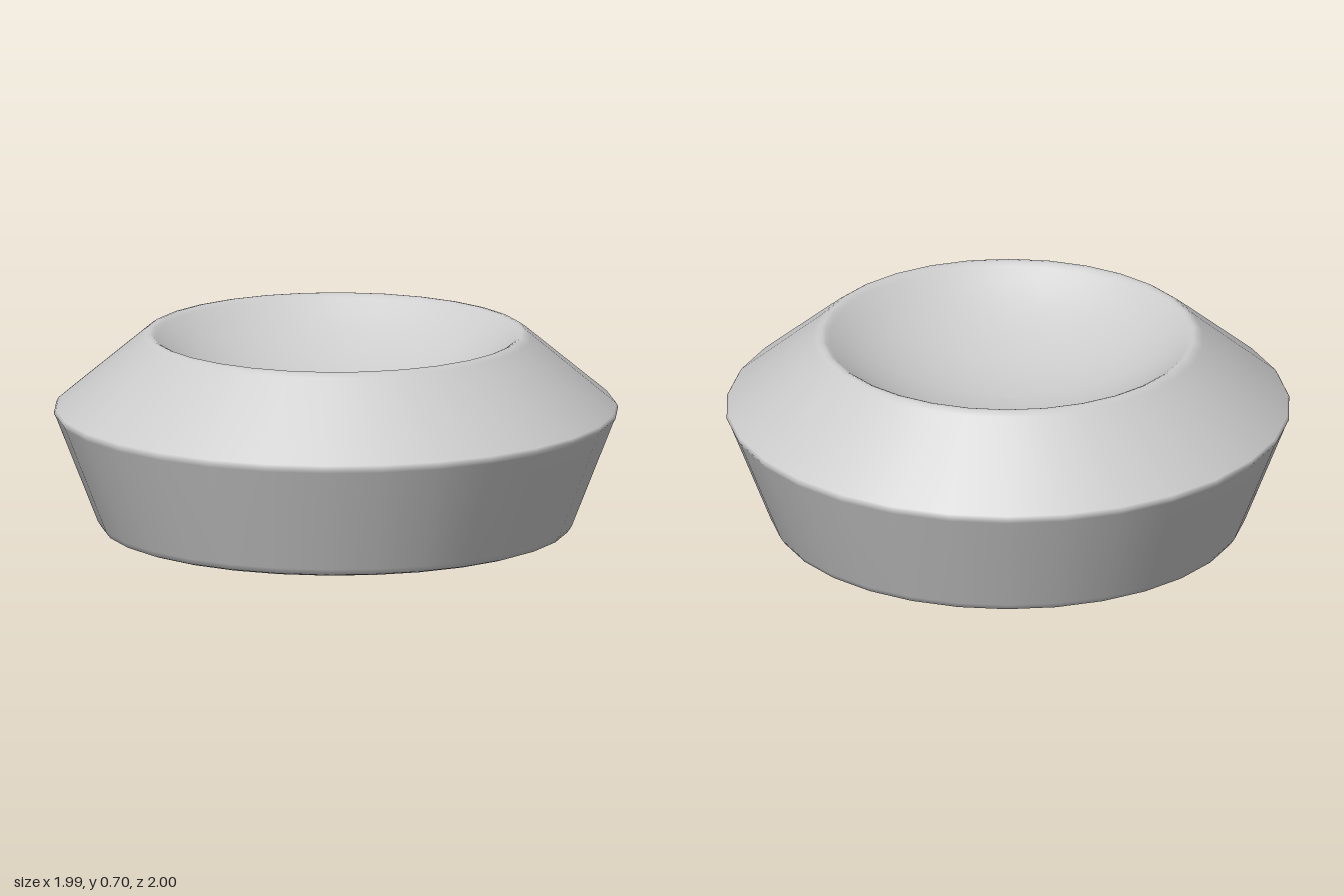
import * as THREE from 'three';

export function createModel() {
  const group = new THREE.Group();
  const material = new THREE.MeshStandardMaterial({ color: 0xcccccc });

  // Outer profile from the base centre up to the rim, with small bevels at each edge
  const profile = [
    [0, 0], [0.805, 0], [0.828, 0.008], [0.843, 0.03],
    [0.992, 0.41], [1, 0.424], [0.993, 0.437],
    [0.692, 0.69], [0.675, 0.702], [0.66, 0.705], [0.648, 0.7],
  ].map(([r, y]) => new THREE.Vector2(r, y));

  // Spherical hollow falling from the rim to the centre
  const rimRadius = 0.635, rimHeight = 0.691, rimAngle = THREE.MathUtils.degToRad(40);
  const radius = rimRadius / Math.sin(rimAngle);
  const centreY = rimHeight + radius * Math.cos(rimAngle);
  const steps = 10;
  for (let i = 0; i <= steps; i++) {
    const a = rimAngle * (1 - i / steps);
    profile.push(new THREE.Vector2(radius * Math.sin(a), centreY - radius * Math.cos(a)));
  }

  const bowl = new THREE.Mesh(new THREE.LatheGeometry(profile, 30), material);
  bowl.name = 'bowl';
  group.add(bowl);
  return group;
}
